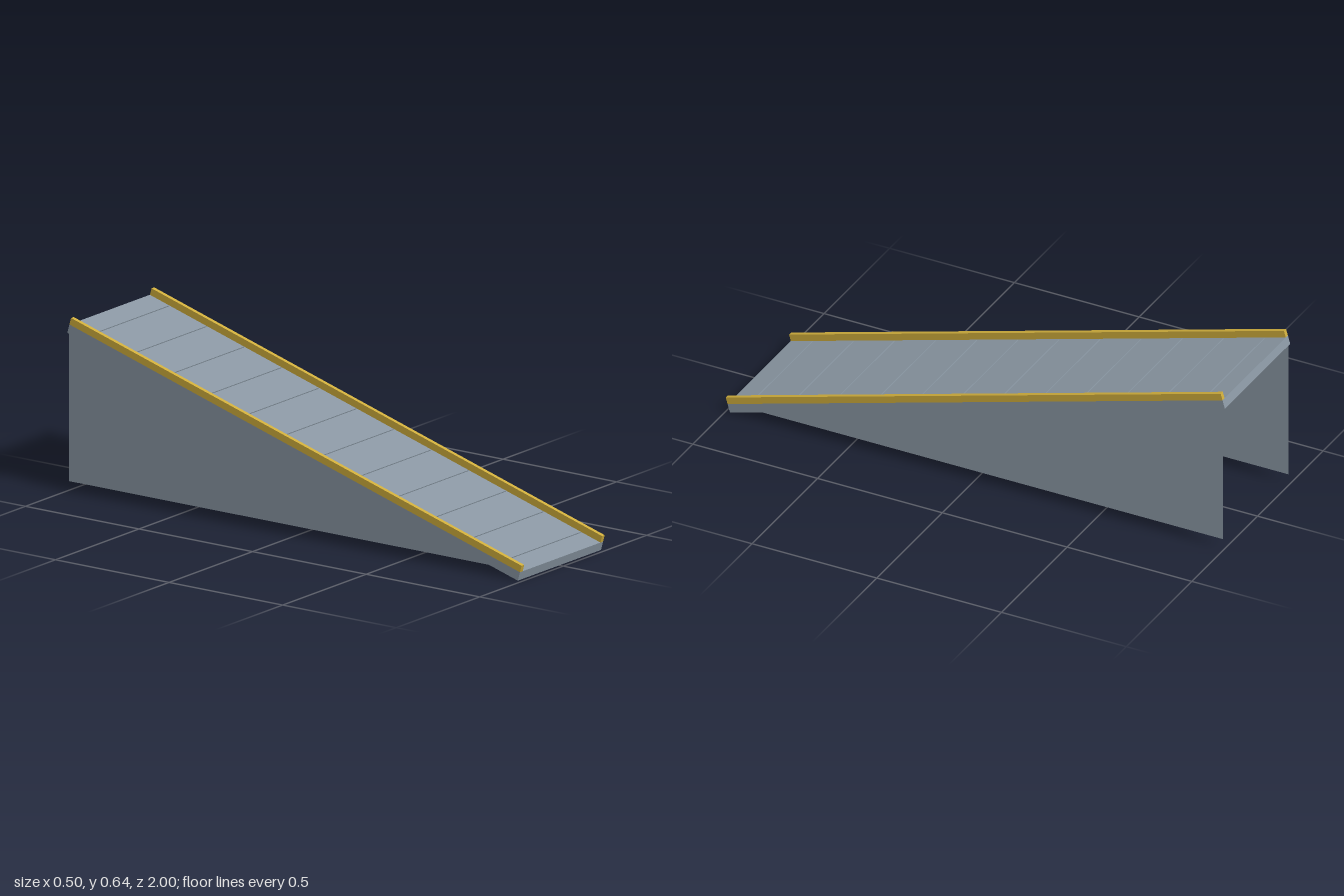
import * as THREE from 'three';

const WIDTH = 0.498, LENGTH = 2.067, DECK = 0.034, CURB = 0.026, CURB_W = 0.016;
const ANGLE = Math.atan(0.2935);
const FRONT_Z = 0.983; // lower front edge of the deck, at y = 0
const PANEL_Y = 0.037;

export function createModel() {
  const steel = new THREE.MeshStandardMaterial({ name: 'steelGrey', color: 0x8a97a3 });
  const sheet = new THREE.MeshStandardMaterial({ name: 'sheetGrey', color: 0x8a97a3, side: THREE.DoubleSide });
  const yellow = new THREE.MeshStandardMaterial({ name: 'safetyYellow', color: 0xd0ae3c });

  const model = new THREE.Group();
  model.name = 'ramp';

  // Sloped assembly: its origin is the lower front edge, running up along -z
  const slope = new THREE.Group();
  slope.name = 'slope';
  slope.position.z = FRONT_Z;
  slope.rotation.x = ANGLE;
  model.add(slope);

  const addBox = (name, material, w, h, d, x, y, z) => {
    const mesh = new THREE.Mesh(new THREE.BoxGeometry(w, h, d), material);
    mesh.name = name;
    mesh.position.set(x, y, z);
    slope.add(mesh);
  };

  addBox('deck', steel, WIDTH, DECK, LENGTH, 0, DECK / 2, -LENGTH / 2);

  // Anti-slip ribs across the deck
  for (let i = 0; i < 12; i++) {
    addBox(`rib${i + 1}`, steel, 0.45, 0.004, 0.01, 0, DECK + 0.002, -0.09 - i * 0.1717);
  }

  // Raised kerbs along both edges
  for (const side of [-1, 1]) {
    addBox(side > 0 ? 'leftKerb' : 'rightKerb', yellow, CURB_W, CURB, LENGTH,
      side * (WIDTH - CURB_W) / 2, DECK + CURB / 2, -LENGTH / 2);
  }

  // Thin triangular side panels under the deck; shape x runs backwards
  const backRun = FRONT_Z + 0.993;
  const tan = Math.tan(ANGLE);
  const profile = new THREE.Shape([
    new THREE.Vector2(PANEL_Y / tan, PANEL_Y),
    new THREE.Vector2(backRun, PANEL_Y),
    new THREE.Vector2(backRun, backRun * tan),
  ]);
  for (const side of [-1, 1]) {
    const panel = new THREE.Mesh(new THREE.ShapeGeometry(profile), sheet);
    panel.name = side > 0 ? 'leftPanel' : 'rightPanel';
    panel.rotation.y = Math.PI / 2;
    panel.position.set(side * (WIDTH / 2 - 0.0005), 0, FRONT_Z);
    model.add(panel);
  }

  return model;
}
